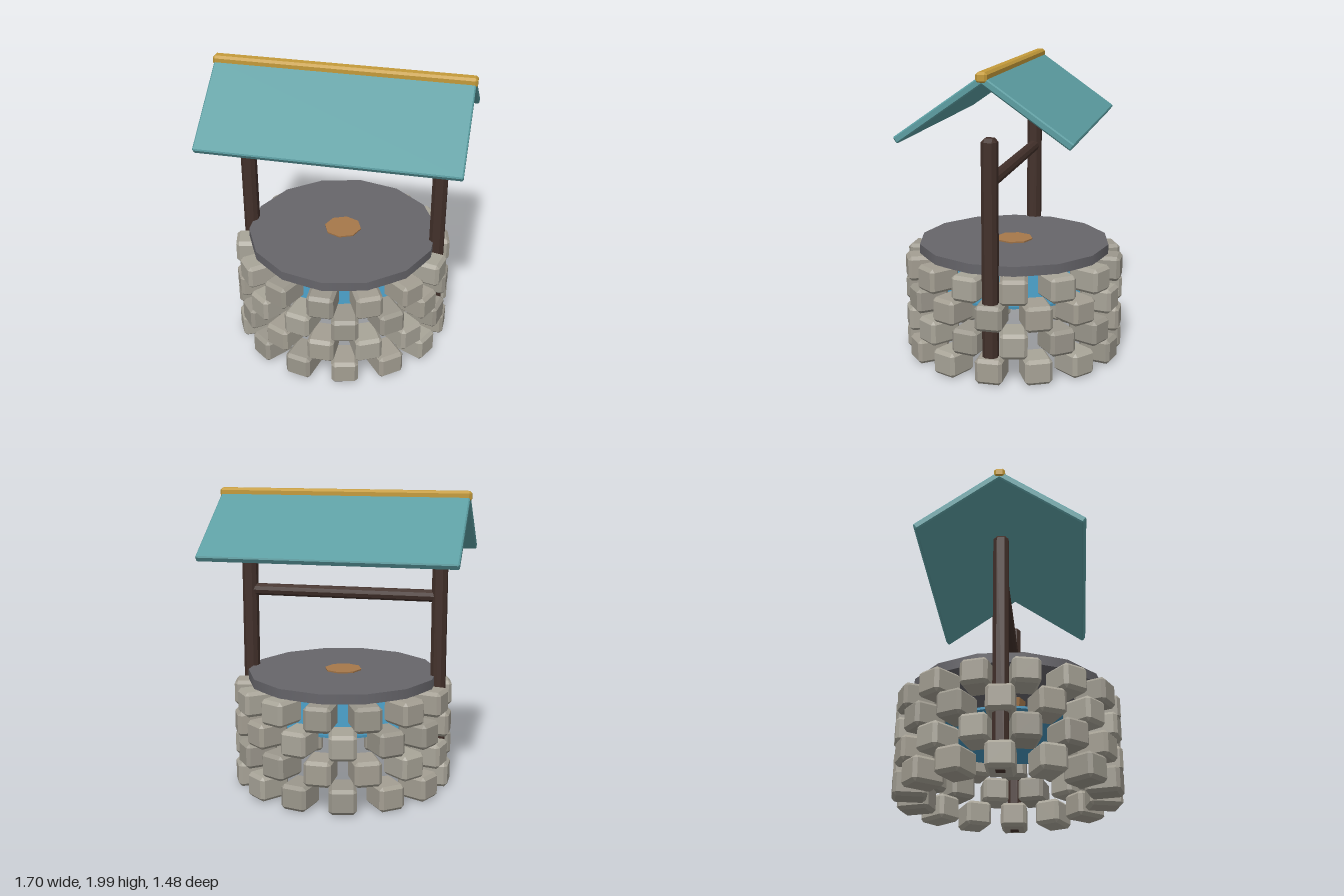
import * as THREE from 'three';
import { ConvexGeometry } from 'three/addons/geometries/ConvexGeometry.js';

const paint = (color, flatShading = true) => new THREE.MeshStandardMaterial({ color, flatShading });

// Box with every edge and corner chamfered by b
function chamferBox(w, h, d, b) {
  const points = [];
  for (const sx of [-1, 1]) for (const sy of [-1, 1]) for (const sz of [-1, 1]) {
    const x = w / 2, y = h / 2, z = d / 2;
    points.push(
      new THREE.Vector3(sx * x, sy * (y - b), sz * (z - b)),
      new THREE.Vector3(sx * (x - b), sy * y, sz * (z - b)),
      new THREE.Vector3(sx * (x - b), sy * (y - b), sz * z));
  }
  return new ConvexGeometry(points);
}

export function createModel() {
  const model = new THREE.Group();
  model.name = 'well';

  const add = (parent, name, geometry, material, x = 0, y = 0, z = 0) => {
    const mesh = new THREE.Mesh(geometry, material);
    mesh.name = name;
    mesh.position.set(x, y, z);
    parent.add(mesh);
    return mesh;
  };

  // Four staggered rings of loose stones
  const COUNT = 14, STEP = (Math.PI * 2) / COUNT, RADIUS = 0.63;
  const stone = chamferBox(0.178, 0.168, 0.22, 0.022);
  const stonePaints = [0xa39e92, 0x9b978c, 0xa8a498].map((c) => paint(c));
  const wall = new THREE.Group();
  wall.name = 'stoneWall';
  model.add(wall);
  [0.095, 0.274, 0.45, 0.628].forEach((y, row) => {
    for (let i = 0; i < COUNT; i++) {
      const a = Math.PI / 2 + (i + (row % 2) / 2) * STEP;
      const mesh = add(wall, 'stone', stone, stonePaints[(i * 5 + row * 2 + (i >> 1)) % 3],
        Math.sin(a) * RADIUS, y, Math.cos(a) * RADIUS);
      mesh.rotation.y = a;
    }
  });

  // Water, lid and bucket
  add(model, 'water', new THREE.CylinderGeometry(0.53, 0.53, 0.016, 28), paint(0x4492b8, false), 0, 0.462, 0);
  add(model, 'lid', new THREE.CylinderGeometry(0.65, 0.65, 0.065, 14), paint(0x66656a, false), 0, 0.743, 0);
  add(model, 'bucket', new THREE.CylinderGeometry(0.127, 0.105, 0.165, 8), paint(0xa5774a), 0, 0.703, 0);

  // Posts and crossbar
  const wood = paint(0x42302a);
  const post = chamferBox(0.098, 1.58, 0.098, 0.024);
  for (const side of [-1, 1]) {
    add(model, side > 0 ? 'leftPost' : 'rightPost', post, wood, side * 0.654, 0.797, 0);
  }
  add(model, 'crossbar', new THREE.CylinderGeometry(0.041, 0.041, 1.27, 10), wood, 0, 1.311, 0)
    .rotation.z = Math.PI / 2;

  // Gabled roof with a ridge beam
  const panel = chamferBox(1.676, 0.046, 0.655, 0.008);
  const teal = paint(0x5b9da1);
  for (const side of [-1, 1]) {
    add(model, side > 0 ? 'frontRoof' : 'backRoof', panel, teal, 0, 1.767, side * 0.27)
      .rotation.x = side * 0.61;
  }
  add(model, 'ridgeBeam', chamferBox(1.695, 0.066, 0.072, 0.015), paint(0xc39a3a), 0, 1.967, 0);

  return model;
}
